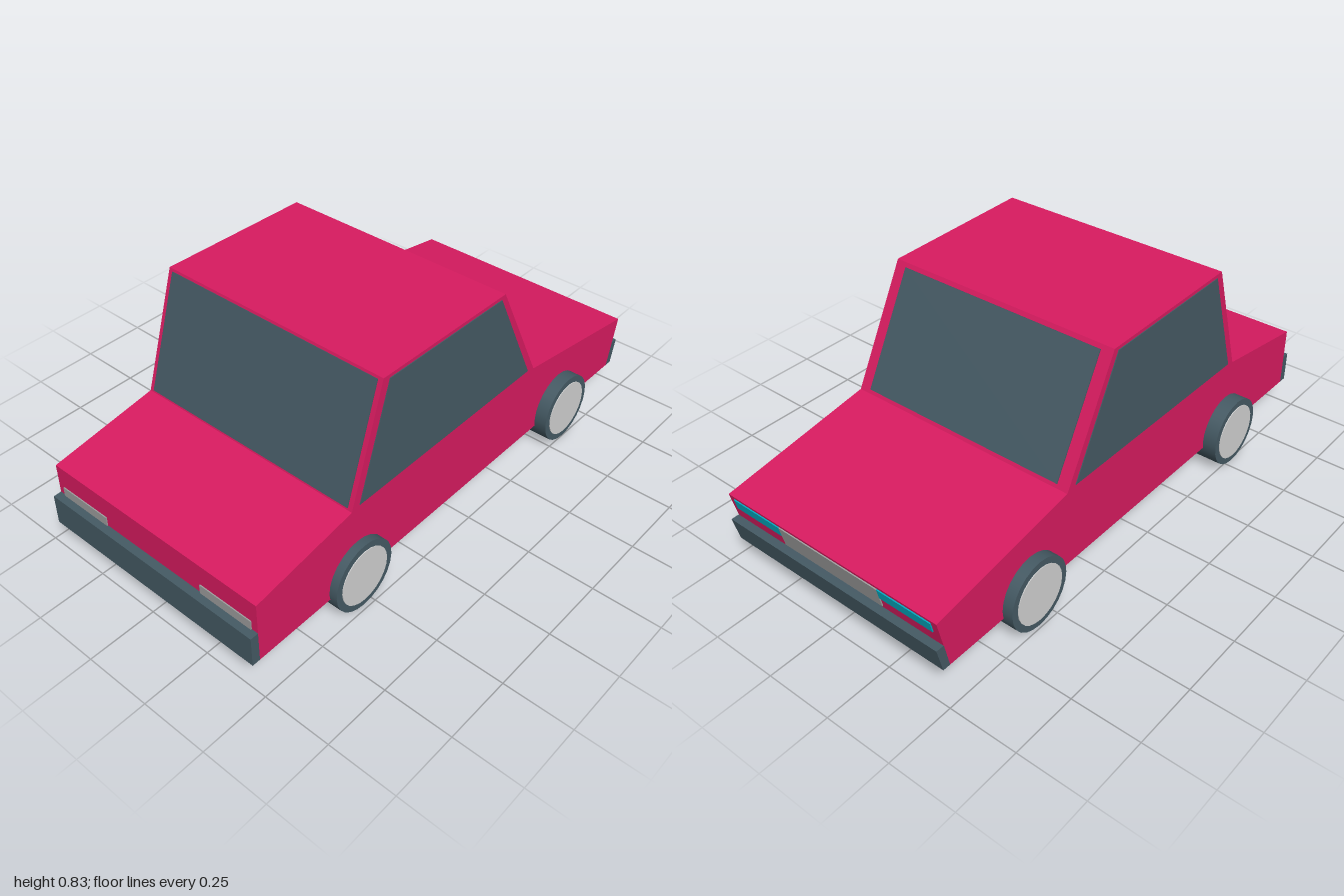
import * as THREE from 'three';

const mat = (name, color) => {
  const m = new THREE.MeshStandardMaterial({ color });
  m.name = name;
  return m;
};

export function createModel() {
  const car = new THREE.Group();
  car.name = 'car';
  const red = mat('red paint', 0xd81b60);
  const dark = mat('slate', 0x455a64);
  const silver = mat('silver', 0xd2d2d2);
  const grey = mat('grey', 0x9e9e9e);
  const cyan = mat('cyan', 0x00acc1);

  const add = (name, geometry, material) => {
    const m = new THREE.Mesh(geometry, material);
    m.name = name;
    car.add(m);
    return m;
  };

  // Side profile extruded across the width, from z0 to z1
  const slab = (name, pts, z0, z1, material) => {
    const shape = new THREE.Shape(pts.map(([x, y]) => new THREE.Vector2(x, y)));
    const g = new THREE.ExtrudeGeometry(shape, { depth: z1 - z0, bevelEnabled: false });
    g.translate(0, 0, z0);
    return add(name, g, material);
  };

  // Thin plate lying on the sloped face through p and q, between two heights
  const plate = (name, p, q, y0, y1, z0, z1, material) => {
    const at = (y) => p[0] + ((q[0] - p[0]) * (y - p[1])) / (q[1] - p[1]);
    const dx = at(y1) - at(y0), dy = y1 - y0;
    const m = add(name, new THREE.BoxGeometry(Math.hypot(dx, dy), 0.008, z1 - z0), material);
    m.position.set((at(y0) + at(y1)) / 2, (y0 + y1) / 2, (z0 + z1) / 2);
    m.rotation.z = Math.atan2(dy, dx);
  };

  // Body
  const W = 0.455;
  const noseLow = [0.945, 0.105], noseTop = [0.99, 0.3];
  const screenLow = [0.4, 0.397], screenTop = [0.18, 0.815];
  const rearTop = [-0.42, 0.826], rearLow = [-0.56, 0.4];
  const tailTop = [-0.97, 0.335], tailLow = [-0.97, 0.105];
  slab('body', [tailLow, noseLow, noseTop, screenLow, screenTop, rearTop, rearLow, tailTop], -W, W, red);

  // Bumpers
  slab('frontBumper', [noseLow, [0.974, 0.105], [0.997, 0.2], [0.966, 0.2]], -W, W, dark);
  slab('rearBumper', [[-1, 0.105], [-0.97, 0.105], [-0.97, 0.22], [-1, 0.22]], -W, W, dark);

  // Windows
  plate('windscreen', screenLow, screenTop, 0.41, 0.8, -0.41, 0.41, dark);
  plate('rearWindow', rearLow, rearTop, 0.408, 0.817, -0.437, 0.437, dark);
  const sidePane = [[-0.525, 0.41], [0.36, 0.41], [0.16, 0.803], [-0.392, 0.813]];
  slab('leftWindow', sidePane, W - 0.004, W + 0.003, dark);
  slab('rightWindow', sidePane, -W - 0.003, -W + 0.004, dark);

  // Grille and lamps
  plate('grille', noseLow, noseTop, 0.21, 0.29, -0.215, 0.215, grey);
  for (const s of [-1, 1]) {
    const a = s * 0.215, b = s * 0.43;
    plate('headlight', noseLow, noseTop, 0.25, 0.29, Math.min(a, b), Math.max(a, b), cyan);
    plate('tailLight', tailLow, tailTop, 0.21, 0.255, Math.min(a, b), Math.max(a, b), grey);
  }

  // Wheels: x, y, inner z, outer z
  const wheels = [
    ['rearLeftWheel', -0.535, 0.131, 0.405, 0.485],
    ['rearRightWheel', -0.535, 0.131, -0.41, -0.508],
    ['frontLeftWheel', 0.58, 0.136, 0.41, 0.502],
    ['frontRightWheel', 0.58, 0.136, -0.405, -0.494],
  ];
  for (const [name, x, y, zi, zo] of wheels) {
    const wheel = new THREE.Group();
    wheel.name = name;
    const disc = (label, r, depth, z, material) => {
      const m = new THREE.Mesh(new THREE.CylinderGeometry(r, r, depth, 24).rotateX(Math.PI / 2), material);
      m.name = label;
      m.position.z = z;
      wheel.add(m);
    };
    disc('tyre', 0.131, Math.abs(zo - zi), (zi + zo) / 2, dark);
    disc('hubcap', 0.106, 0.006, zo, silver);
    wheel.position.set(x, y, 0);
    car.add(wheel);
  }
  return car;
}
